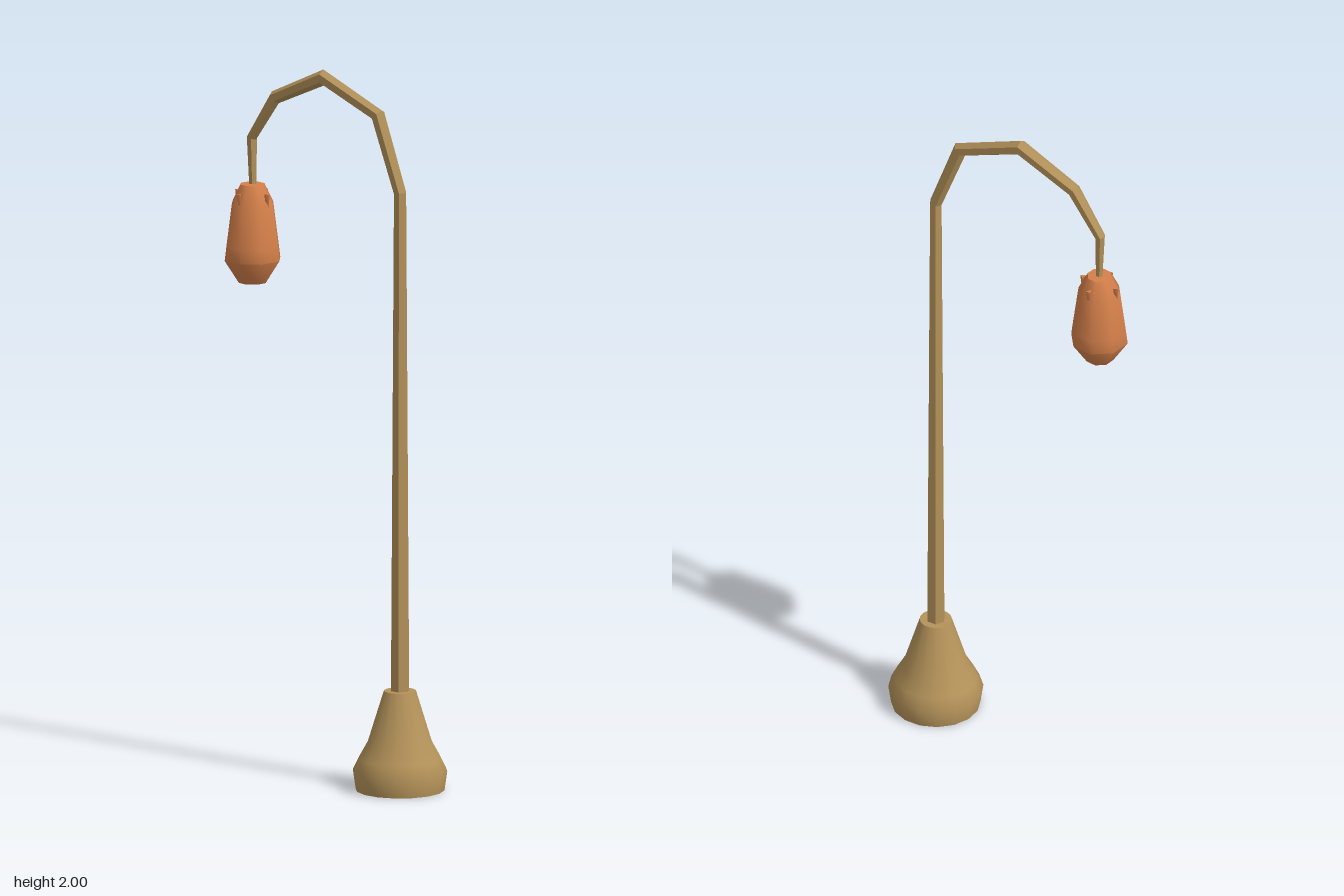
import * as THREE from 'three';
import { toCreasedNormals } from 'three/addons/utils/BufferGeometryUtils.js';

// Faceted tube along a path in the xy plane, with mitred joints; stations are [x, y, radius]
function sweep(stations, sides) {
  const pos = [], index = [];
  const pts = stations.map(([x, y]) => new THREE.Vector2(x, y));
  const last = pts.length - 1;
  pts.forEach((p, i) => {
    const a = pts[i].clone().sub(pts[Math.max(i - 1, 0)]).normalize();
    const b = pts[Math.min(i + 1, last)].clone().sub(pts[i]).normalize();
    const t = a.clone().add(b).normalize();
    const miter = 1 / t.dot(i < last ? b : a);
    const r = stations[i][2];
    for (let k = 0; k < sides; k++) {
      const ang = (k / sides) * Math.PI * 2;
      const n = Math.cos(ang) * r * miter;
      pos.push(p.x + t.y * n, p.y - t.x * n, Math.sin(ang) * r);
      if (i < last) {
        const k2 = (k + 1) % sides;
        const q = i * sides + k, s = i * sides + k2;
        index.push(q, q + sides, s, s, q + sides, s + sides);
      }
    }
  });
  // End caps
  for (let k = 1; k < sides - 1; k++) {
    const e = last * sides;
    index.push(0, k, k + 1, e, e + k + 1, e + k);
  }
  const g = new THREE.BufferGeometry();
  g.setAttribute('position', new THREE.Float32BufferAttribute(pos, 3));
  g.setIndex(index);
  g.computeVertexNormals();
  return g;
}

function lathe(profile, sides, crease) {
  const pts = profile.map(([r, y]) => new THREE.Vector2(r, y));
  return toCreasedNormals(new THREE.LatheGeometry(pts, sides), crease);
}

export function createModel() {
  const group = new THREE.Group();
  const bronze = new THREE.MeshStandardMaterial({ color: 0xb5935a, side: THREE.DoubleSide });
  const bronzeFlat = bronze.clone();
  bronzeFlat.flatShading = true;
  const orange = new THREE.MeshStandardMaterial({ color: 0xd5804a, side: THREE.DoubleSide });

  const add = (name, geometry, material, x = 0, y = 0, z = 0, parent = group) => {
    const mesh = new THREE.Mesh(geometry, material);
    mesh.name = name;
    mesh.position.set(x, y, z);
    parent.add(mesh);
    return mesh;
  };

  // Bell-shaped foot
  const base = add('base', lathe([
    [0, 0], [0.124, 0], [0.132, 0.055], [0.115, 0.09], [0.09, 0.135], [0.045, 0.28], [0, 0.28],
  ], 16, 0.9), bronze, 0.243);
  base.rotation.y = Math.PI / 16;

  // Tapered post running into the curved arm and the hanging stem
  add('postAndArm', sweep([
    [0.243, 0.26, 0.027], [0.243, 1.69, 0.018], [0.163, 1.9, 0.02], [-0.035, 1.98, 0.021],
    [-0.21, 1.9, 0.019], [-0.295, 1.775, 0.015], [-0.292, 1.63, 0.01],
  ], 6), bronzeFlat);

  // Hanging lantern with small folded tips around its shoulder
  const lantern = new THREE.Group();
  lantern.name = 'lantern';
  lantern.position.set(-0.293, 0, 0);
  group.add(lantern);
  const shade = add('shade', lathe([
    [0, 1.36], [0.04, 1.365], [0.082, 1.43], [0.077, 1.47], [0.061, 1.59], [0.035, 1.643], [0, 1.645],
  ], 8, 0.85), orange, 0, 0, 0, lantern);
  shade.rotation.y = 0.26;

  for (let i = 0; i < 4; i++) {
    const a = (i * Math.PI) / 2;
    const tip = add('shoulderTip', new THREE.ConeGeometry(0.009, 0.065, 3), orange,
      Math.sin(a) * 0.054, 1.588, Math.cos(a) * 0.054, lantern);
    tip.rotation.set(Math.PI, a, 0);
  }
  return group;
}
